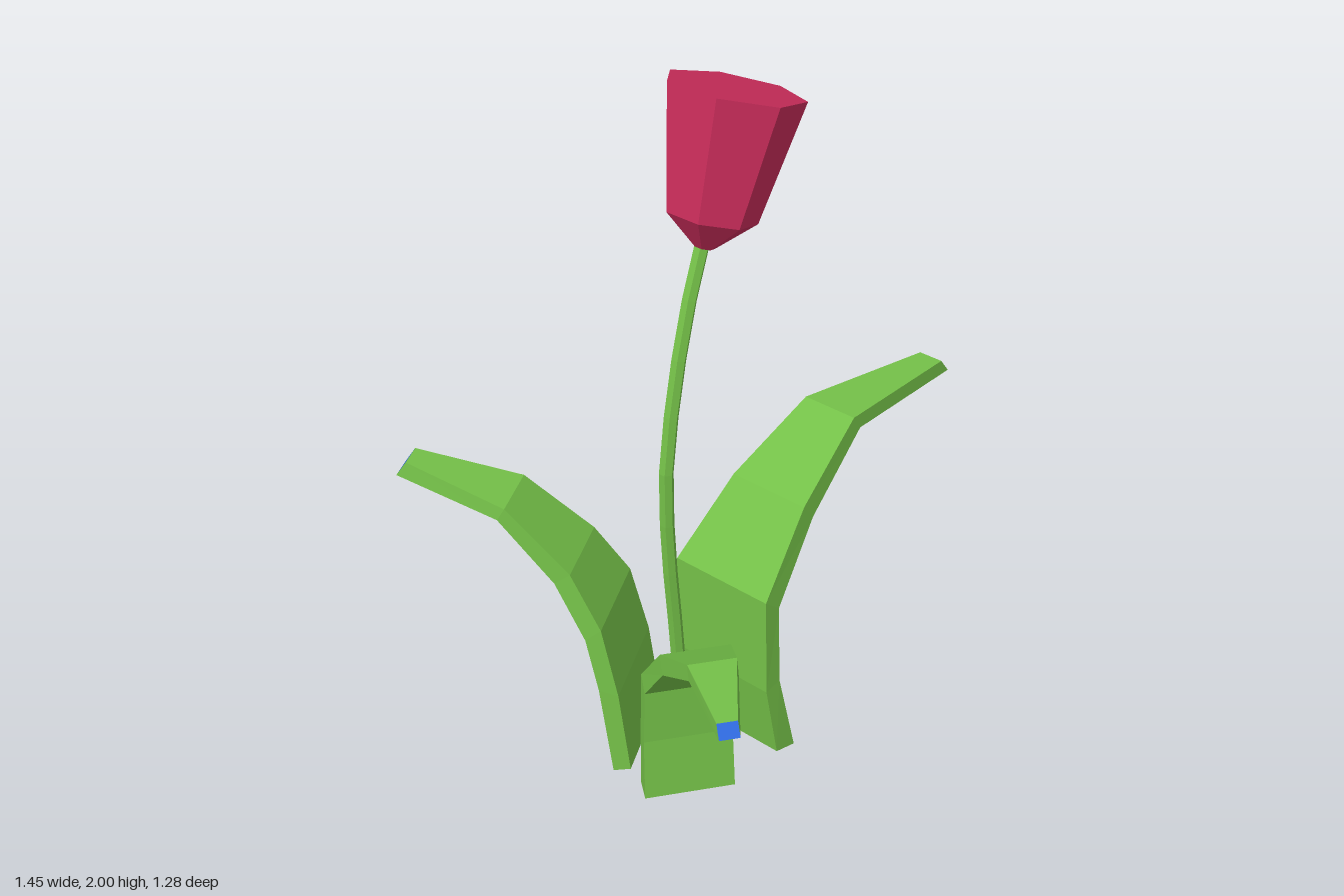
import * as THREE from 'three';

const mat = (name, color) => {
  const m = new THREE.MeshStandardMaterial({ color });
  m.name = name;
  return m;
};

// Split the faces so every facet is shaded flat
const faceted = (geometry) => {
  const g = geometry.index ? geometry.toNonIndexed() : geometry;
  g.computeVertexNormals();
  return g;
};

// Thick bent blade. Each station: [outward and height of the upper face,
// outward and height of the lower face, sideways range]
function leafGeometry([ox, oz], [dx, dz], stations) {
  const place = (s, y, lat) => [ox + s * dx - lat * dz, y, oz + s * dz + lat * dx];
  const rings = stations.map(([su, yu, sl, yl, a, b]) => [
    place(su, yu, a), place(su, yu, b), place(sl, yl, b), place(sl, yl, a),
  ]);
  const pos = [];
  const quad = (a, b, c, d) => pos.push(...a, ...b, ...c, ...a, ...c, ...d);
  for (let i = 0; i < rings.length - 1; i++) {
    for (let j = 0; j < 4; j++) {
      const k = (j + 1) % 4;
      quad(rings[i][j], rings[i][k], rings[i + 1][k], rings[i + 1][j]);
    }
  }
  const sideCount = pos.length / 3;
  quad(...[...rings[0]].reverse());
  quad(...rings[rings.length - 1]);
  const g = new THREE.BufferGeometry();
  g.setAttribute('position', new THREE.Float32BufferAttribute(pos, 3));
  g.addGroup(0, sideCount, 0);
  g.addGroup(sideCount, 12, 1); // cut ends
  return faceted(g);
}

export function createModel() {
  const group = new THREE.Group();
  const green = mat('leafGreen', 0x74c048);
  const blue = mat('endBlue', 0x2f6adf);
  const red = mat('petalRed', 0xca2d5b);

  const add = (name, geometry, material) => {
    const mesh = new THREE.Mesh(geometry, material);
    mesh.name = name;
    group.add(mesh);
    return mesh;
  };

  // Three leaves spreading from the base
  const leaves = [
    ['leftLeaf', [0, 0], [1, 0], [
      [-0.14, 0.05, -0.065, 0.03, -0.05, 0.31],
      [-0.17, 0.27, -0.115, 0.28, -0.045, 0.295],
      [-0.165, 0.565, -0.11, 0.52, -0.035, 0.285],
      [0.02, 0.77, 0.06, 0.72, 0.01, 0.26],
      [0.28, 0.915, 0.31, 0.87, 0.05, 0.22],
      [0.69, 0.912, 0.725, 0.867, 0.14, 0.215],
    ]],
    ['backLeaf', [-0.3, -0.04], [-0.465, -0.885], [
      [0, 0.03, 0.05, 0.015, -0.165, 0.16],
      [0.03, 0.28, 0.085, 0.29, -0.162, 0.155],
      [0.075, 0.49, 0.12, 0.45, -0.155, 0.138],
      [0.16, 0.65, 0.205, 0.615, -0.14, 0.09],
      [0.338, 0.825, 0.36, 0.787, -0.127, 0.043],
      [0.64, 0.875, 0.67, 0.83, -0.045, 0.029],
    ]],
    ['frontLeaf', [-0.35, 0.16], [-0.58, 0.81], [
      [0, 0.015, 0.055, 0.003, -0.125, 0.13],
      [-0.005, 0.19, 0.04, 0.19, -0.122, 0.127],
      [0, 0.395, 0.043, 0.36, -0.115, 0.122],
      [0.13, 0.555, 0.16, 0.51, -0.095, 0.095],
      [0.315, 0.658, 0.335, 0.622, -0.066, 0.063],
      [0.555, 0.66, 0.582, 0.628, -0.011, 0.043],
    ]],
  ];
  for (const [name, origin, dir, stations] of leaves) {
    add(name, leafGeometry(origin, dir, stations), [green, blue]);
  }

  // Curved six-sided stem with a closed foot
  const path = new THREE.CatmullRomCurve3(
    [[-0.262, 0.008], [-0.285, 0.38], [-0.317, 0.77], [-0.316, 1.0],
      [-0.284, 1.19], [-0.238, 1.39], [-0.168, 1.59]]
      .map(([x, y]) => new THREE.Vector3(x, y, 0.072)));
  add('stem', faceted(new THREE.TubeGeometry(path, 10, 0.02, 6)), green);
  const foot = add('stemFoot', new THREE.CircleGeometry(0.02, 6), green);
  foot.rotation.x = Math.PI / 2;
  foot.position.set(-0.262, 0.008, 0.072);

  // Seven-sided tilted blossom
  const profile = [[0, 0], [0.026, 0], [0.12, 0.083], [0.181, 0.405], [0, 0.405]]
    .map(([r, y]) => new THREE.Vector2(r, y));
  const blossom = add('blossom', faceted(new THREE.LatheGeometry(profile, 7, Math.PI / 2)), red);
  blossom.position.set(-0.17, 1.567, 0.076);
  blossom.rotation.z = -0.285;

  return group;
}
